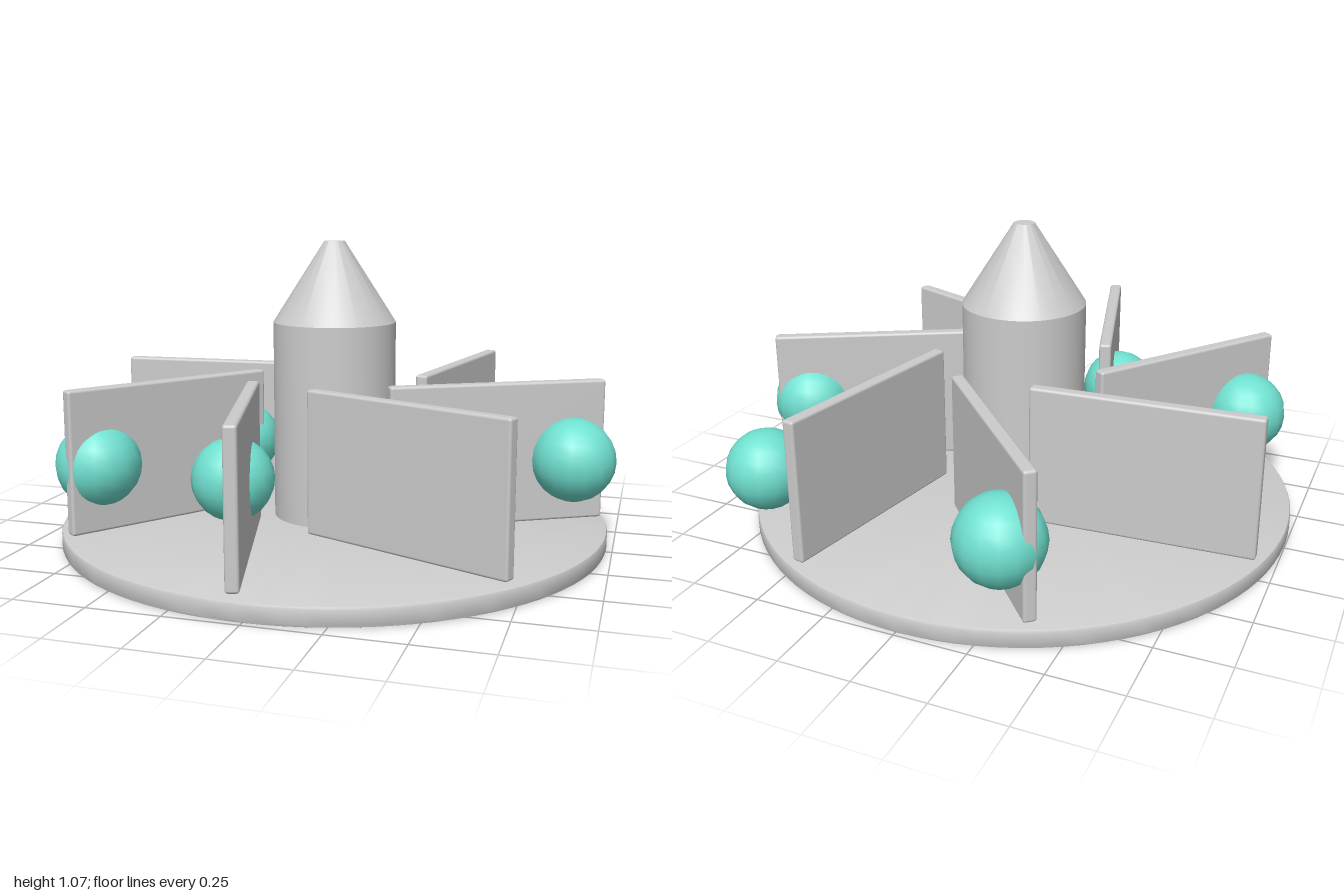
import * as THREE from 'three';
import { RoundedBoxGeometry } from 'three/addons/geometries/RoundedBoxGeometry.js';
import { toCreasedNormals } from 'three/addons/utils/BufferGeometryUtils.js';

const grey = new THREE.MeshStandardMaterial({ color: 0xcccccc });
const teal = new THREE.MeshStandardMaterial({ color: 0x70e0d0 });
const CENTER_X = -0.01;

function part(name, geometry, material = grey) {
  const mesh = new THREE.Mesh(geometry, material);
  mesh.name = name;
  return mesh;
}

function turned(points, segments) {
  const profile = points.map(([r, y]) => new THREE.Vector2(r, y));
  return toCreasedNormals(new THREE.LatheGeometry(profile, segments), 0.5);
}

export function createModel() {
  const group = new THREE.Group();
  group.name = 'bladedRotor';

  // Round base plate with softened rim
  const plate = part('basePlate', turned([
    [0, 0], [0.98, 0], [0.987, 0.003], [0.99, 0.01],
    [0.99, 0.056], [0.987, 0.063], [0.98, 0.066], [0, 0.066],
  ], 96));
  plate.position.x = CENTER_X;
  group.add(plate);

  // Central hub with a blunt conical nose
  const hub = part('hub', turned([
    [0, 0.066], [0.222, 0.066], [0.222, 0.78], [0.037, 1.07], [0, 1.07],
  ], 48));
  hub.position.x = CENTER_X;
  group.add(hub);

  // Seven slanted blades around the hub
  const blades = new THREE.Group();
  blades.name = 'blades';
  blades.position.set(CENTER_X, 0.33, 0);
  const bladeGeometry = new RoundedBoxGeometry(0.795, 0.505, 0.045, 2, 0.01);
  for (let i = 0; i < 7; i++) {
    const angle = (i / 7) * Math.PI * 2;
    const blade = part('blade', bladeGeometry);
    blade.position.set(Math.cos(angle) * 0.6, 0, Math.sin(angle) * 0.6);
    blade.rotation.y = 0.5 - angle;
    blades.add(blade);
  }
  group.add(blades);

  // Balls scattered among the blades: x, z, radius
  const balls = new THREE.Group();
  balls.name = 'balls';
  for (const [x, z, r] of [
    [-0.28, -0.82, 0.15], [0.65, -0.69, 0.14], [0.85, -0.09, 0.15],
    [-0.21, 0.51, 0.14], [-0.74, 0.445, 0.15], [-0.41, -0.1, 0.14],
  ]) {
    const ball = part('ball', new THREE.SphereGeometry(r, 16, 12), teal);
    ball.position.set(x, 0.302, z);
    balls.add(ball);
  }
  group.add(balls);

  return group;
}
